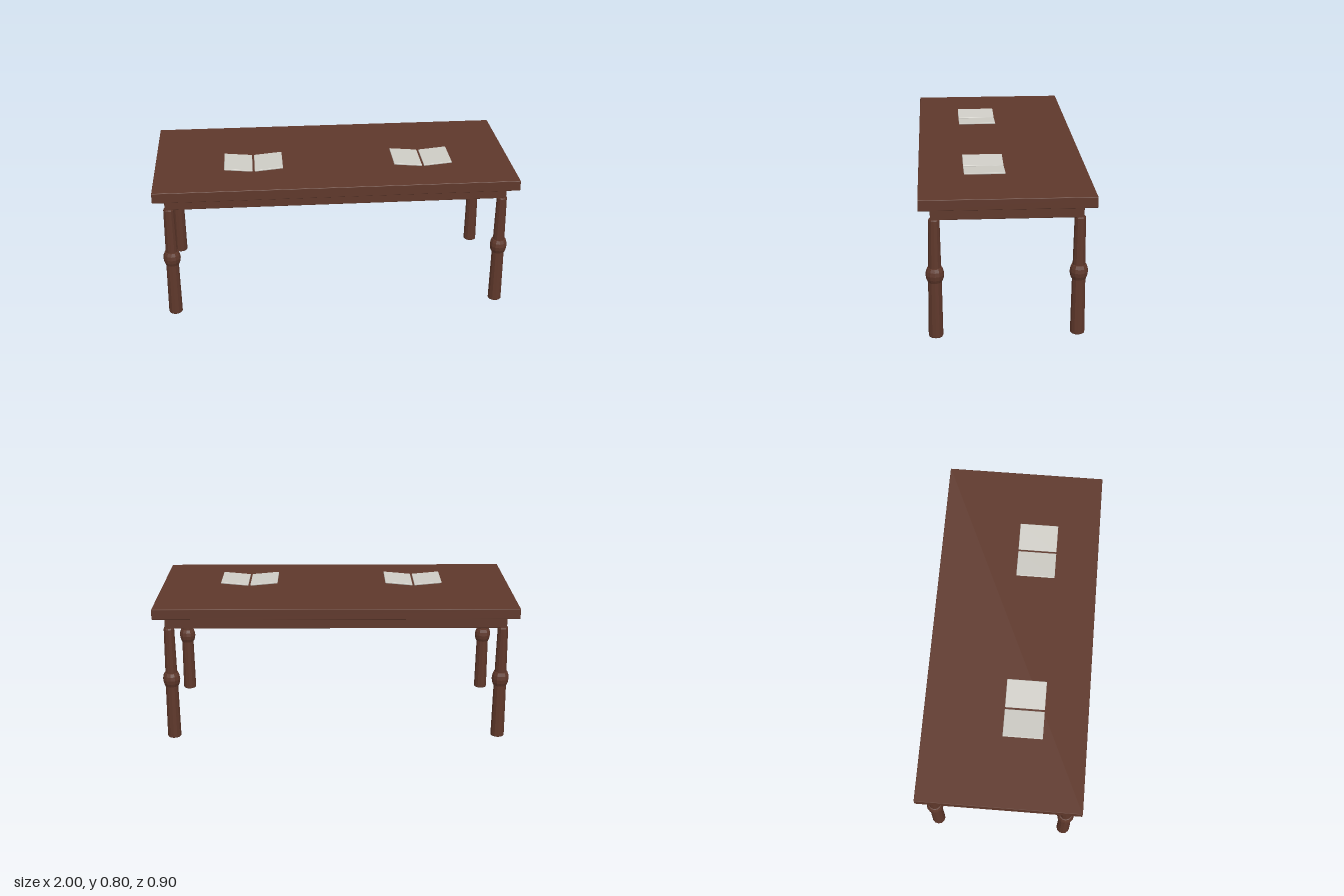
import * as THREE from 'three';
import { RoundedBoxGeometry } from 'three/addons/geometries/RoundedBoxGeometry.js';

export function createModel() {
  const wood = new THREE.MeshStandardMaterial({ color: 0x5f382b });
  wood.name = 'darkWood';
  const paper = new THREE.MeshStandardMaterial({ color: 0xcfcdc6 });
  paper.name = 'paper';

  const model = new THREE.Group();
  model.name = 'table';
  const add = (parent, name, geometry, material, x, y, z) => {
    const mesh = new THREE.Mesh(geometry, material);
    mesh.name = name;
    mesh.position.set(x, y, z);
    parent.add(mesh);
    return mesh;
  };

  // Top slab and the solid apron under it
  add(model, 'tableTop', new RoundedBoxGeometry(2, 0.058, 0.896, 1, 0.003), wood, 0, 0.751, 0);
  add(model, 'apron', new RoundedBoxGeometry(1.88, 0.075, 0.778, 1, 0.003), wood, 0, 0.6885, 0);

  // Turned legs: tapered shaft with a faceted bulb
  const lathe = (points) => {
    const profile = points.map(([r, y]) => new THREE.Vector2(r, y));
    const geometry = new THREE.LatheGeometry(profile, 12).toNonIndexed();
    geometry.computeVertexNormals();
    return geometry;
  };
  const shaft = lathe([[0, 0.002], [0.036, 0.002], [0.038, 0.006], [0.038, 0.024],
    [0.035, 0.31], [0.033, 0.39], [0.029, 0.645], [0.026, 0.653], [0, 0.653]]);
  const bulb = lathe([[0.033, 0.31], [0.038, 0.311], [0.045, 0.329], [0.048, 0.35],
    [0.045, 0.371], [0.038, 0.389], [0.031, 0.39]]);
  for (const x of [-0.92, 0.92]) {
    for (const z of [-0.37, 0.37]) {
      const leg = new THREE.Group();
      leg.name = 'leg';
      leg.position.set(x, 0, z);
      add(leg, 'legShaft', shaft, wood, 0, 0, 0);
      add(leg, 'legBulb', bulb, wood, 0, 0, 0);
      model.add(leg);
    }
  }

  // Open books: two page blocks tilted up from the spine
  const pages = new RoundedBoxGeometry(0.158, 0.009, 0.218, 1, 0.003);
  for (const x of [-0.45, 0.498]) {
    const book = new THREE.Group();
    book.name = 'openBook';
    book.position.set(x, 0.78, 0.1);
    for (const side of [-1, 1]) {
      const half = new THREE.Group();
      half.name = side > 0 ? 'leftPages' : 'rightPages';
      half.position.x = side * 0.006;
      half.rotation.z = side * 0.09;
      add(half, 'pageBlock', pages, paper, side * 0.079, 0.0045, 0);
      book.add(half);
    }
    model.add(book);
  }
  return model;
}
